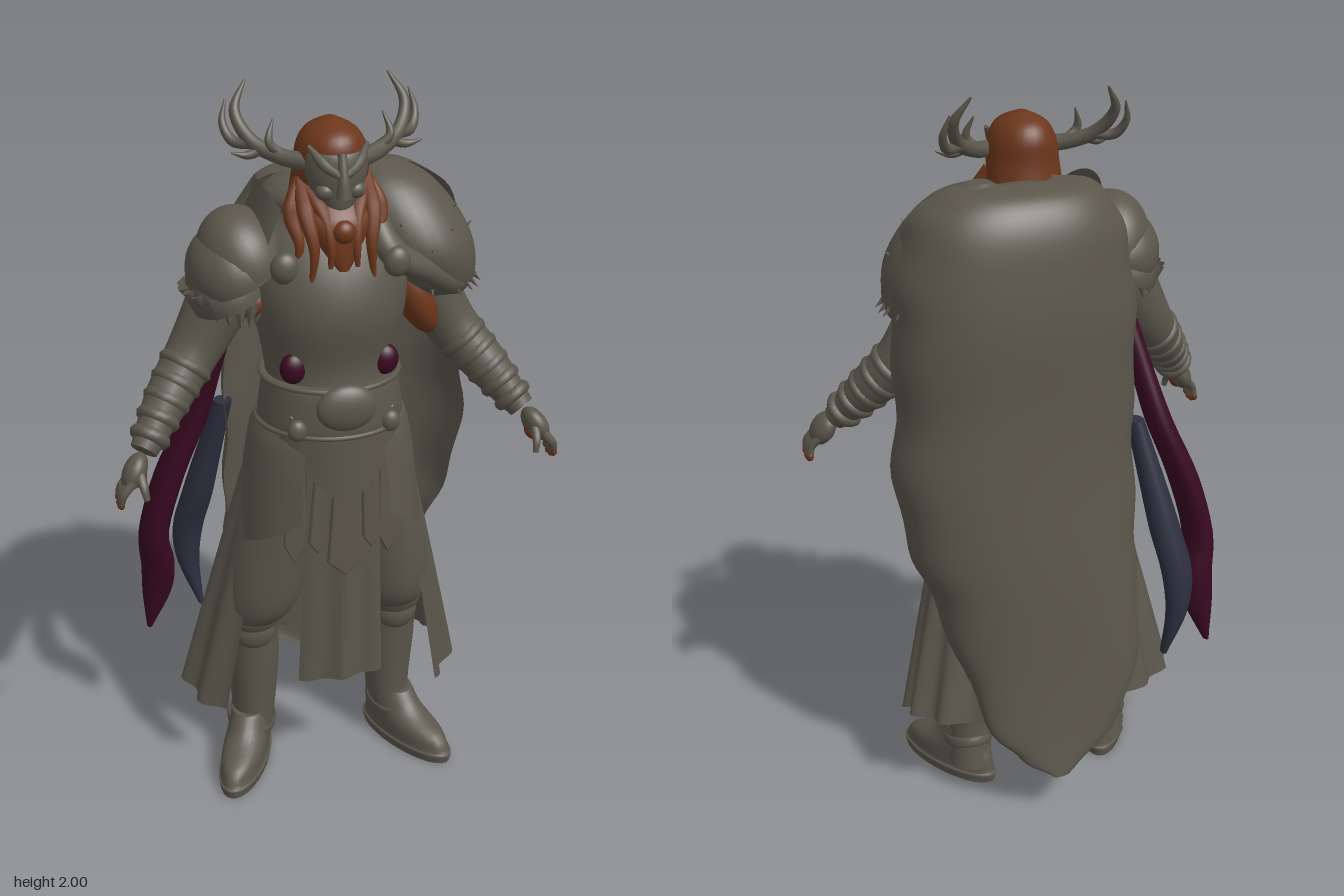
import * as THREE from 'three';

const V = (x, y, z) => new THREE.Vector3(x, y, z);
const lerp = THREE.MathUtils.lerp;
const mat = (name, color) => Object.assign(new THREE.MeshStandardMaterial({ color, side: THREE.DoubleSide }), { name });

// Surface through a list of rings of points
function skin(rings, closed) {
  if (closed) {
    const cap = r => r.map(() => r.reduce((s, p) => s.add(p), V(0, 0, 0)).divideScalar(r.length));
    const a = rings[0], b = rings[rings.length - 1];
    rings = [cap(a), a, ...rings, b, cap(b)];
  }
  const n = rings[0].length, idx = [];
  for (let i = 0; i < rings.length - 1; i++)
    for (let j = 0; j < (closed ? n : n - 1); j++) {
      const k = (j + 1) % n, a = i * n + j, b = i * n + k, c = a + n, d = b + n;
      idx.push(a, c, b, b, c, d);
    }
  const g = new THREE.BufferGeometry().setFromPoints(rings.flat());
  g.setIndex(idx);
  g.computeVertexNormals();
  return g;
}
// Upright body from sections [y, cx, cz, rx, rz], lowest first
function loft(secs, n = 28, steps = 4) {
  const path = f => new THREE.CatmullRomCurve3(secs.map(f), false, 'catmullrom', 0.5);
  const c = path(s => V(s[1], s[0], s[2])), r = path(s => V(s[3], 0, s[4])), m = (secs.length - 1) * steps;
  return skin(Array.from({ length: m + 1 }, (_, i) => {
    const p = c.getPoint(i / m), q = r.getPoint(i / m);
    return Array.from({ length: n }, (_, j) => {
      const a = j / n * Math.PI * 2;
      return V(p.x + q.x * Math.cos(a), p.y, p.z + q.z * Math.sin(a));
    });
  }), true);
}
// Tapering tube along points
function limb(pts, radii, n = 12) {
  const curve = new THREE.CatmullRomCurve3(pts.map(p => V(...p)));
  const m = (pts.length - 1) * 6, f = curve.computeFrenetFrames(m);
  return skin(Array.from({ length: m + 1 }, (_, i) => {
    const u = i / m, t = u * (radii.length - 1), k = Math.min(Math.floor(t), radii.length - 2);
    const r = lerp(radii[k], radii[k + 1], t - k), p = curve.getPointAt(u);
    return Array.from({ length: n }, (_, j) => {
      const a = j / n * Math.PI * 2;
      return p.clone().addScaledVector(f.normals[i], r * Math.cos(a)).addScaledVector(f.binormals[i], -r * Math.sin(a));
    });
  }), true);
}
// Open sheet from a function of u, v
const sheet = (fn, nu, nv) => skin(Array.from({ length: nv + 1 }, (_, i) =>
  Array.from({ length: nu + 1 }, (_, j) => fn(j / nu, i / nv))), false);
const plate = (pts, depth) => new THREE.ExtrudeGeometry(new THREE.Shape(pts.map(p => new THREE.Vector2(...p))),
  { depth, bevelEnabled: true, bevelSize: 0.004, bevelThickness: 0.004, bevelSegments: 1 });

export function createModel() {
  const root = new THREE.Group();
  root.name = 'hornedWarrior';
  const stone = mat('stoneGrey', 0x5a564b), rust = mat('rustHair', 0x6c361b);
  const maroon = mat('maroonCloth', 0x380920), navy = mat('navyCloth', 0x2d2f3f);
  const add = (name, geo, material = stone, pos = [0, 0, 0], scale = [1, 1, 1], rot = [0, 0, 0]) => {
    const m = new THREE.Mesh(geo, material);
    m.name = name;
    m.position.set(...pos); m.scale.set(...scale); m.rotation.set(...rot);
    root.add(m);
    return m;
  };
  const ball = new THREE.SphereGeometry(1, 28, 20), spike = new THREE.ConeGeometry(0.011, 0.045, 6);
  const dome = new THREE.SphereGeometry(1, 32, 16, 0, Math.PI * 2, 0, Math.PI * 0.54);
  const rim = new THREE.TorusGeometry(1, 0.05, 8, 40);

  // Torso, breastplate rims and belt
  add('torso', loft([[0.92, 0, 0.08, 0.2, 0.15], [1.1, 0, 0.1, 0.19, 0.16], [1.2, 0, 0.1, 0.17, 0.155],
    [1.3, 0, 0.09, 0.175, 0.15], [1.43, 0, 0.09, 0.2, 0.175], [1.53, 0, 0.085, 0.205, 0.165],
    [1.62, 0, 0.07, 0.18, 0.14], [1.68, 0, 0.07, 0.1, 0.1], [1.76, 0, 0.08, 0.07, 0.07]], 36));
  add('belt', loft([[1.12, 0, 0.1, 0.185, 0.165], [1.14, 0, 0.1, 0.195, 0.18], [1.22, 0, 0.1, 0.185, 0.175],
    [1.26, 0, 0.1, 0.18, 0.165]], 36));
  for (const [y, rx, rz] of [[1.13, 0.195, 0.178], [1.255, 0.182, 0.166]])
    add('beltRim', rim, stone, [0, y, 0.098], [rx, rz, 0.15], [Math.PI / 2, 0, 0]);
  add('collarRim', rim, stone, [0, 1.61, 0.1], [0.13, 0.12, 0.2], [Math.PI / 2 + 0.3, 0, 0]);
  add('buckle', ball, stone, [0, 1.21, 0.265], [0.08, 0.065, 0.033]);

  // Front cloth, curved waist flap and hanging straps
  add('tabard', sheet((u, v) => {
    const x = (u - 0.5) * lerp(0.19, 0.24, v);
    return V(x, lerp(1.12, 0.36, v), lerp(0.26, 0.245, v) - Math.abs(x) * 0.2 + 0.006 * Math.sin(u * 15) * v);
  }, 24, 12));
  for (const [top, depth, out] of [[1.14, 0.17, 0], [1.12, 0.09, 0.008]])
    add('waistFlap', sheet((u, v) => {
      const a = lerp(-0.95, 0.95, u);
      return V(0.2 * Math.sin(a), top - v * (0.03 + depth * (1 - Math.abs(u * 2 - 1) ** 1.3)), 0.09 + (0.19 + out) * Math.cos(a));
    }, 24, 4));
  add('centreStrap', plate([[-0.03, 0.99], [0.03, 0.99], [0.045, 0.76], [0, 0.72], [-0.045, 0.76]], 0.01), stone, [0, 0, 0.26]);

  for (const s of [1, -1]) {
    const flip = pts => pts.map(p => [p[0] * s, ...p.slice(1)]);
    add('sideStrap', plate(flip([[0.105, 1.18], [0.135, 1.18], [0.155, 0.8], [0.13, 0.75], [0.105, 0.8]]), 0.01),
      stone, [0, 0, 0.235], [1, 1, 1], [0, 0.15 * s, 0]);
    add('strapStud', ball, stone, [0.125 * s, 1.15, 0.245], [0.026, 0.03, 0.02]);
    add('innerStrap', plate(flip([[0.05, 1.0], [0.08, 1.0], [0.095, 0.82], [0.075, 0.79], [0.055, 0.82]]), 0.008), stone, [0, 0, 0.25]);
    add('waistCloth', ball, maroon, [0.122 * s, 1.305, 0.197], [0.036, 0.042, 0.026]);

    // Hip plate
    add('hipPlate', sheet((u, v) => {
      const a = lerp(0.5, 2.2, u), b = 0.06 * Math.sqrt(v), hem = 0.96 - 0.18 * Math.sin(Math.PI * (0.1 + 0.55 * u)) ** 0.8;
      return V(s * (0.195 + b) * Math.sin(a), lerp(1.14, hem, v), 0.09 + (0.17 + b * 0.7) * Math.cos(a));
    }, 24, 10));

    // Legs: baggy trousers, boot shaft, cuffs and foot
    add('trouserLeg', loft([[0.47, 0.21 * s, 0.03, 0.07, 0.075], [0.55, 0.19 * s, 0.05, 0.11, 0.11],
      [0.72, 0.165 * s, 0.06, 0.12, 0.125], [0.98, 0.11 * s, 0.08, 0.11, 0.13]]));
    add('bootShaft', loft([[0.05, 0.215 * s, 0, 0.06, 0.075], [0.18, 0.205 * s, 0.01, 0.064, 0.068],
      [0.34, 0.205 * s, 0.01, 0.076, 0.08], [0.44, 0.208 * s, 0.02, 0.074, 0.08], [0.49, 0.21 * s, 0.03, 0.085, 0.092],
      [0.51, 0.21 * s, 0.03, 0.078, 0.085]]));
    add('kneeGuard', ball, stone, [0.21 * s, 0.45, 0.07], [0.06, 0.06, 0.04]);
    add('ankleCuff', rim, stone, [0.213 * s, 0.12, 0.015], [0.068, 0.08, 0.3], [Math.PI / 2 + 0.25, 0, 0]);
    add('boot', loft([[0, 0, 0, 0.064, 0.175], [0.025, 0, 0, 0.068, 0.18], [0.03, 0, 0, 0.062, 0.172],
      [0.07, 0, -0.01, 0.062, 0.155], [0.11, 0, -0.05, 0.058, 0.1], [0.16, 0, -0.07, 0.052, 0.07]]),
      stone, [0.248 * s, 0, 0.08], [1, 1, 1], [0, 0.45 * s, 0]);

    // Arm with wrapped forearm
    const arm = flip([[0.22, 1.57, 0.04], [0.295, 1.42, 0.04], [0.355, 1.32, 0.055], [0.435, 1.22, 0.11], [0.515, 1.115, 0.185]]);
    add('arm', limb(arm, [0.085, 0.083, 0.07, 0.06, 0.036], 20));
    const curve = new THREE.CatmullRomCurve3(arm.map(p => V(...p)));
    for (let i = 0; i < 5; i++) {
      const u = 0.57 + i * 0.09;
      const ring = add('armWrap', new THREE.TorusGeometry(0.056 - i * 0.0045, 0.018, 8, 24), stone, curve.getPointAt(u).toArray());
      ring.quaternion.setFromUnitVectors(V(0, 0, 1), curve.getTangentAt(u));
    }
    // Hand with fingers, thumb and bare palm
    add('hand', ball, stone, [0.545 * s, 1.075, 0.215], [0.03, 0.052, 0.042], [-0.4, 0, 0.5 * s]);
    add('palm', ball, rust, [0.537 * s, 1.058, 0.219], [0.022, 0.026, 0.022], [-0.4, 0, 0.5 * s]);
    for (let i = 0; i < 4; i++) {
      const z = 0.195 + i * 0.018, tip = [0.588 * s, 0.99 + Math.abs(i - 1.5) * 0.008, z + 0.004];
      add('finger', limb([[0.555 * s, 1.06, z], [0.582 * s, 1.03, z + 0.008], tip], [0.013, 0.012, 0.008], 8));
      add('fingertip', ball, rust, tip, [0.009, 0.012, 0.009]);
    }
    add('thumb', limb(flip([[0.535, 1.08, 0.235], [0.53, 1.05, 0.268], [0.525, 1.02, 0.278]]), [0.014, 0.012, 0.008], 8));
  }
  // Bare skin inside the left arm and beside the right armpit
  add('innerArmSkin', ball, rust, [0.228, 1.435, 0.095], [0.05, 0.12, 0.06], [0, 0, 0.45]);
  add('armpitSkin', ball, rust, [-0.205, 1.465, 0.105], [0.034, 0.045, 0.05], [0, 0, -0.4]);

  // Pleated skirt, open at the front
  add('skirt', sheet((u, v) => {
    const open = lerp(0.45, 0.9, Math.min(1, v * 1.6)), a = lerp(open, Math.PI * 2 - open, u);
    const f = 1 + 0.035 * v * Math.sin(a * 15), drop = Math.max(0, Math.cos(a)) * Math.abs(Math.sin(a)) * 0.11;
    return V(lerp(0.19, 0.4, v ** 0.9) * f * Math.sin(a), lerp(1.12, 0.27 - drop, v),
      lerp(0.09, -0.01, v) + lerp(0.15, 0.195, v) * f * Math.cos(a));
  }, 140, 14));

  // Cape rows: y, right edge x, left edge x, edge z, back z
  const rows = [[1.775, -0.04, 0.18, 0.01, -0.06], [1.755, -0.15, 0.27, 0.01, -0.14], [1.68, -0.22, 0.35, 0.03, -0.19],
    [1.55, -0.255, 0.395, 0.03, -0.21], [1.4, -0.265, 0.405, 0.0, -0.22], [1.2, -0.26, 0.405, -0.01, -0.22], [1.0, -0.26, 0.42, -0.02, -0.23],
    [0.8, -0.26, 0.39, -0.05, -0.245], [0.65, -0.255, 0.34, -0.08, -0.255], [0.45, -0.245, 0.28, -0.15, -0.265],
    [0.27, -0.17, 0.22, -0.22, -0.28], [0.19, -0.08, 0.15, -0.255, -0.29], [0.13, 0.02, 0.07, -0.285, -0.3]];
  const [sides, depths] = [[1, 2], [3, 4]].map(([i, j]) =>
    new THREE.CatmullRomCurve3(rows.map(r => V(r[i], r[0], r[j])), false, 'catmullrom', 0.5));
  add('cape', sheet((u, v) => {
    const p = sides.getPoint(v), q = depths.getPoint(v), a = u * Math.PI, c = Math.cos(a);
    return V((p.x + p.z) / 2 + (p.z - p.x) / 2 * Math.sign(c) * Math.abs(c) ** 0.85 + 0.006 * Math.sin(v * 55) * c ** 4,
      p.y, lerp(q.x, q.z, Math.sin(a) ** 0.8));
  }, 44, 60));
  add('capeCollar', ball, stone, [0.06, 1.69, -0.04], [0.21, 0.083, 0.12]);

  // Fur mantle over the left shoulder, with tufts
  add('furMantle', loft([[1.44, 0.3, 0.02, 0.1, 0.115], [1.48, 0.285, 0.03, 0.125, 0.145], [1.57, 0.25, 0.04, 0.148, 0.165],
    [1.66, 0.215, 0.03, 0.138, 0.145], [1.74, 0.18, 0.01, 0.1, 0.1], [1.78, 0.16, -0.01, 0.03, 0.03]], 32));
  add('mantleFold', limb([[0.1, 1.7, 0.12], [0.13, 1.6, 0.19], [0.24, 1.53, 0.18], [0.33, 1.47, 0.12], [0.38, 1.46, 0.02]],
    [0.03, 0.04, 0.032, 0.035, 0.03]));
  for (let i = 0; i < 32; i++) {
    const hem = i < 18, t = hem ? 0 : (i - 18) / 18, a = i * 2.4, r = hem ? 0.122 : lerp(0.15, 0.11, t);
    const d = V(Math.cos(a), hem ? -0.9 : 0.9, Math.sin(a));
    const tuft = add('furTuft', spike, stone, [(hem ? 0.29 : lerp(0.25, 0.19, t)) + r * d.x, hem ? 1.465 : lerp(1.57, 1.72, t), 0.03 + r * 1.1 * d.z]);
    tuft.quaternion.setFromUnitVectors(V(0, 1, 0), d.normalize());
  }
  add('leftBrooch', ball, stone, [0.14, 1.58, 0.225], [0.035, 0.04, 0.025]);
  add('rightBrooch', ball, stone, [-0.14, 1.575, 0.19], [0.038, 0.042, 0.028]);

  // Layered pauldron on the right shoulder with raised guard and fur lining
  for (const [x, y, rx, ry, rz] of [[-0.22, 1.56, 0.115, 0.145, 0.14], [-0.248, 1.535, 0.118, 0.125, 0.145], [-0.265, 1.48, 0.1, 0.12, 0.13]])
    add('pauldron', dome, stone, [x, y, 0.06], [rx, ry, rz], [0, 0, 0.35]);
  add('shoulderGuard', sheet((u, v) => {
    const a = lerp(-1.1, 1.1, u);
    return V(-0.22 + 0.06 * (1 - Math.cos(a)) + 0.045 * v, lerp(1.6, 1.68 + 0.085 * Math.cos(a), v), 0.04 + 0.14 * Math.sin(a));
  }, 16, 6));
  for (let i = 0; i < 18; i++) {
    const a = i / 18 * Math.PI * 2;
    add('pauldronFur', spike, stone, [-0.268 + 0.09 * Math.cos(a), 1.455 - 0.02 * Math.cos(a), 0.06 + 0.115 * Math.sin(a)],
      [2, 1.4, 2], [Math.PI - 0.4 * Math.sin(a), 0, 0.4 * Math.cos(a)]);
  }

  // Head: hair, mask and beard
  add('hair', loft([[1.66, 0, 0.05, 0.1, 0.07], [1.73, 0, 0.075, 0.1, 0.085], [1.8, 0, 0.1, 0.096, 0.1],
    [1.86, 0, 0.105, 0.087, 0.103], [1.9, 0, 0.105, 0.062, 0.08], [1.925, 0, 0.1, 0.015, 0.02]]), rust);
  add('mask', loft([[1.705, 0, 0.165, 0.03, 0.045], [1.74, 0, 0.15, 0.058, 0.066], [1.8, 0, 0.145, 0.08, 0.077],
    [1.85, 0, 0.135, 0.08, 0.08], [1.862, 0, 0.13, 0.07, 0.07]]));
  add('maskNose', limb([[0, 1.86, 0.208], [0, 1.8, 0.225], [0, 1.755, 0.228]], [0.012, 0.014, 0.02]));
  add('beard', loft([[1.57, 0, 0.22, 0.018, 0.02], [1.63, 0, 0.2, 0.055, 0.042], [1.69, 0, 0.175, 0.09, 0.06], [1.74, 0, 0.14, 0.075, 0.055]]), rust);
  add('beardKnot', ball, rust, [0, 1.67, 0.23], [0.03, 0.03, 0.025]);
  for (const s of [1, -1]) {
    const flip = pts => pts.map(p => [p[0] * s, p[1], p[2]]);
    add('maskBrow', limb(flip([[0.01, 1.81, 0.222], [0.04, 1.83, 0.21], [0.075, 1.875, 0.17]]), [0.01, 0.014, 0.005], 8));
    add('maskCheek', ball, stone, [0.038 * s, 1.765, 0.195], [0.026, 0.022, 0.022]);
    for (const [x, y, z] of [[0.11, 1.57, 0.185], [0.08, 1.545, 0.225], [0.035, 1.58, 0.235]])
      add('hairLock', limb(flip([[0.085, 1.78, 0.12], [x + 0.005, 1.7, z - 0.03], [x * 0.92, 1.63, z], [x, y, z]]), [0.016, 0.022, 0.015, 0.006], 10), rust);

    // Antler beam and tines
    const antler = (pts, r) => add('antler', limb(flip(pts), r, 10));
    antler([[0.065, 1.825, 0.14], [0.13, 1.835, 0.1], [0.19, 1.865, 0.055], [0.22, 1.93, 0.005], [0.185, 1.997, -0.03]],
      [0.024, 0.021, 0.018, 0.014, 0.003]);
    antler([[0.18, 1.86, 0.06], [0.23, 1.86, 0.03], [0.25, 1.9, 0.0], [0.238, 1.955, -0.02]], [0.016, 0.014, 0.01, 0.002]);
    antler([[0.12, 1.835, 0.1], [0.155, 1.87, 0.1], [0.14, 1.925, 0.08]], [0.014, 0.011, 0.002]);
    antler([[0.16, 1.85, 0.075], [0.205, 1.835, 0.075], [0.245, 1.845, 0.08]], [0.014, 0.011, 0.002]);
  }

  // Trailing ribbons on the right side
  add('maroonRibbon', loft([[0.38, -0.48, -0.14, 0.008, 0.015], [0.5, -0.455, -0.13, 0.042, 0.035], [0.6, -0.45, -0.115, 0.048, 0.05],
    [0.72, -0.46, -0.095, 0.042, 0.06], [0.9, -0.41, -0.085, 0.042, 0.06], [1.08, -0.335, -0.07, 0.037, 0.05],
    [1.25, -0.29, -0.03, 0.03, 0.04], [1.42, -0.25, 0.02, 0.028, 0.035]], 16), maroon);
  add('navyRibbon', loft([[0.4, -0.315, -0.195, 0.008, 0.015], [0.54, -0.345, -0.21, 0.032, 0.03], [0.66, -0.345, -0.2, 0.045, 0.035],
    [0.78, -0.32, -0.17, 0.045, 0.042], [0.92, -0.29, -0.14, 0.037, 0.038], [1.1, -0.25, -0.1, 0.025, 0.03]], 16), navy);
  return root;
}
